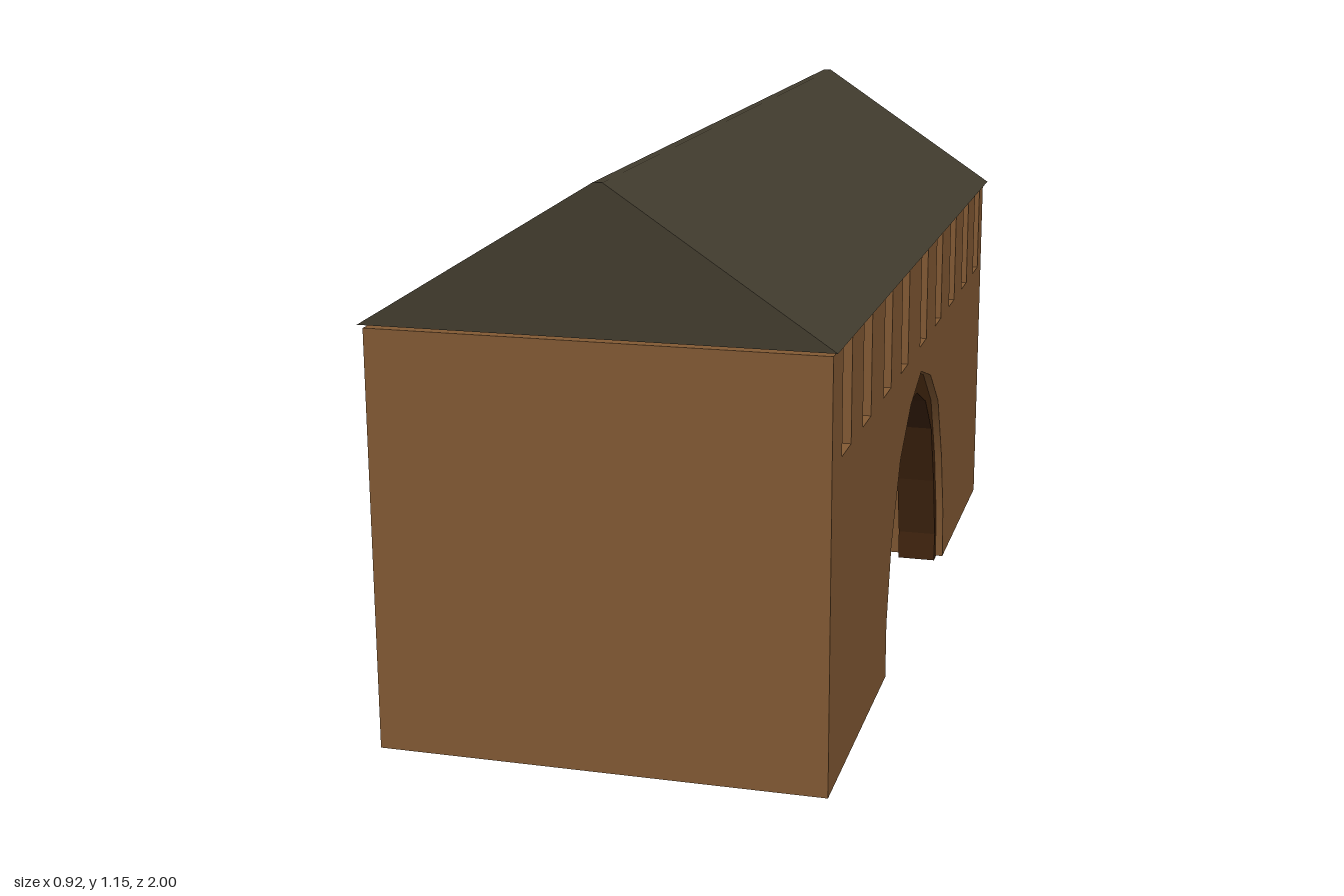
import * as THREE from 'three';
import { toCreasedNormals } from 'three/addons/utils/BufferGeometryUtils.js';

const material = (name, color) => {
  const m = new THREE.MeshStandardMaterial({ color });
  m.name = name;
  return m;
};

const extrude = (points, depth) => new THREE.ExtrudeGeometry(
  new THREE.Shape(points.map(([x, y]) => new THREE.Vector2(x, y))),
  { depth, bevelEnabled: false });

// Side profiles use u = -z; the extrusion then runs along x from x0 to x1.
const acrossX = (points, x0, x1) =>
  extrude(points, x1 - x0).rotateY(Math.PI / 2).translate(x0, 0, 0);

export function createModel() {
  const group = new THREE.Group();
  const wallBrown = material('wall brown', 0x835a34);
  const roofGrey = material('roof grey', 0x423c2e);
  const trimBrown = material('arch trim brown', 0x41250f);

  const add = (name, geometry, mat) => {
    const mesh = new THREE.Mesh(geometry, mat);
    mesh.name = name;
    group.add(mesh);
  };

  // Walls: a block with an arched passage and open notches under the eaves
  const base = 0.01, top = 0.86, sill = 0.65;
  const arch = [
    [-0.388, base], [-0.388, 0.13], [-0.345, 0.29], [-0.25, 0.455], [-0.125, 0.545], [0.008, 0.588],
    [0.147, 0.545], [0.275, 0.45], [0.355, 0.29], [0.404, 0.13], [0.414, base],
  ];
  const notchCentres = [0.877, 0.671, 0.457, 0.243, 0.026, -0.222, -0.43, -0.655, -0.857];
  const notches = notchCentres.flatMap((u) => [
    [u + 0.043, top], [u + 0.043, sill], [u - 0.043, sill], [u - 0.043, top],
  ]);
  const walls = [[-0.99, base], ...arch, [0.985, base], [0.985, top], ...notches, [-0.99, top]];
  add('walls', toCreasedNormals(acrossX(walls, -0.453, 0.447), 0.6), wallBrown);

  // Stone trim lining one mouth of the arch, set partly into the wall
  const inner = [
    [-0.361, 0], [-0.34, 0.225], [-0.28, 0.38], [-0.18, 0.47], [-0.056, 0.523], [0.06, 0.523],
    [0.19, 0.47], [0.29, 0.375], [0.35, 0.225], [0.388, 0.075], [0.388, 0.006],
  ];
  const outer = inner.map(([u, y]) => [u * 1.2, y * 1.17]).reverse();
  add('archTrim', acrossX([...inner, ...outer], 0.34, 0.43), trimBrown);

  // Gabled roof with a narrow flat ridge, floating just above the walls
  const gable = [[-0.46, 0.868], [0.457, 0.868], [0.026, 1.155], [0.008, 1.155]];
  add('roof', extrude(gable, 2).translate(0, 0, -1), roofGrey);

  return group;
}
